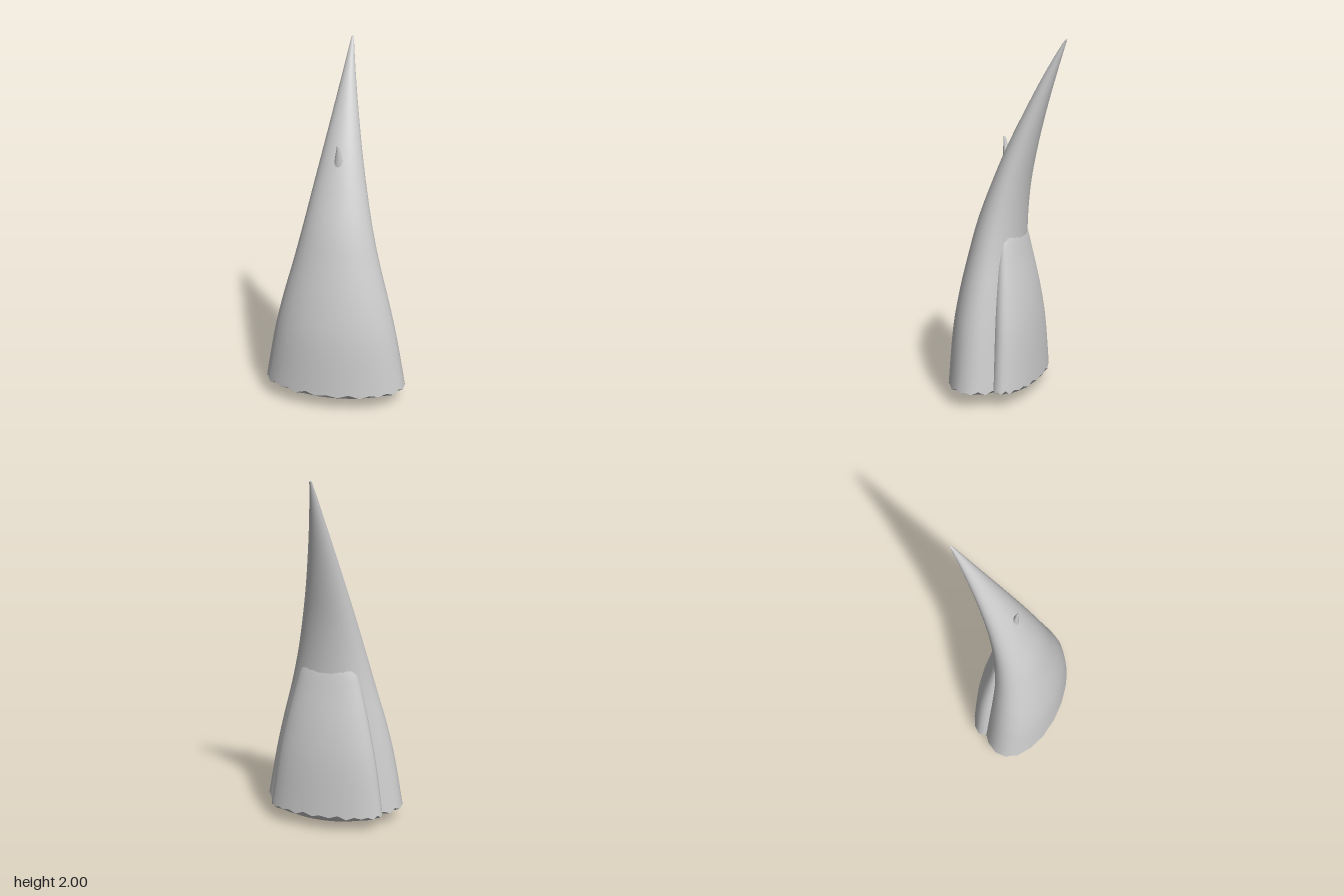
import * as THREE from 'three';

const SIDES = 40;

// Smooth skin over elliptical rings listed from bottom to top: [y, halfWidth, zFront, zBack]
function skin(rings, scallopRow = -1) {
  const pos = [], index = [];
  rings.forEach(([y, rx, zf, zb], j) => {
    for (let i = 0; i < SIDES; i++) {
      const t = (i / SIDES) * Math.PI * 2 + Math.PI / 20;
      // chipped rim: small uneven scallops
      const chip = j === scallopRow ? (i % 2 ? 0.008 : -0.006) + 0.004 * Math.sin(i * 1.9) : 0;
      const facet = i % 2 ? 0.993 : 1;
      pos.push(rx * facet * Math.sin(t), y + chip, (zf + zb) / 2 + ((zf - zb) / 2) * facet * Math.cos(t));
    }
  });
  for (let j = 0; j < rings.length - 1; j++) {
    for (let i = 0; i < SIDES; i++) {
      const k = (i + 1) % SIDES, a = j * SIDES, b = a + SIDES;
      index.push(a + i, a + k, b + k, a + i, b + k, b + i);
    }
  }
  const geo = new THREE.BufferGeometry();
  geo.setAttribute('position', new THREE.Float32BufferAttribute(pos, 3));
  geo.setIndex(index);
  geo.computeVertexNormals();
  return geo;
}

// Fills in rings between the key sections with a smooth curve
function refine(keys, steps) {
  const a = new THREE.CatmullRomCurve3(keys.map(k => new THREE.Vector3(k[1], k[0], k[2])));
  const b = new THREE.CatmullRomCurve3(keys.map(k => new THREE.Vector3(k[1], k[0], k[3])));
  return Array.from({ length: steps + 1 }, (_, i) => {
    const p = a.getPoint(i / steps), q = b.getPoint(i / steps);
    return [p.y, Math.max(p.x, 0), p.z, q.z];
  });
}

// Shallow domed underside, from its lowest point out to the rim
function underside([y, rx, zf, zb], low) {
  const c = (zf + zb) / 2, h = (zf - zb) / 2;
  const rings = [[0, 0], [0.25, 0.12], [0.55, 0.36], [0.8, 0.66], [1, 1]].map(
    ([s, f]) => [low + (y - low) * f, rx * s, c + h * s, c - h * s]);
  return skin(rings, rings.length - 1);
}

export function createModel() {
  const horn = new THREE.MeshStandardMaterial({ color: 0xcccccc });
  horn.name = 'pale grey';
  const group = new THREE.Group();
  group.name = 'horn';
  const add = (name, geo) => {
    const mesh = new THREE.Mesh(geo, horn);
    mesh.name = name;
    group.add(mesh);
  };

  // Main horn, curving back to its tip
  const main = [
    [0.09, 0.405, 0.323, -0.115],
    [0.4, 0.348, 0.304, -0.095],
    [0.6, 0.3, 0.272, -0.082],
    [0.8, 0.245, 0.227, -0.075],
    [1.0, 0.196, 0.174, -0.083],
    [1.2, 0.153, 0.1, -0.106],
    [1.4, 0.112, 0.016, -0.148],
    [1.6, 0.074, -0.083, -0.2],
    [1.8, 0.038, -0.19, -0.26],
    [1.97, 0.01, -0.294, -0.314],
    [1.993, 0.006, -0.312, -0.322],
    [2.0, 0, -0.32, -0.32],
  ];
  add('mainHorn', skin(refine(main, 44), 0));
  add('mainUnderside', underside(main[0], 0));

  // Shorter lobe fused to the back
  const lobe = [
    [0.09, 0.333, 0.06, -0.181],
    [0.4, 0.287, 0.06, -0.165],
    [0.6, 0.245, 0.06, -0.139],
    [0.8, 0.195, 0.05, -0.099],
    [0.92, 0.16, 0.04, -0.073],
    [1.05, 0.1, 0.03, -0.03],
    [1.1, 0, 0, 0],
  ];
  add('backLobe', skin(refine(lobe, 24), 0));
  add('backUnderside', underside(lobe[0], 0.018));

  // Small thorn on the front face
  const thorn = [
    [1.3, 0, 0.024, 0.024],
    [1.302, 0.028, 0.038, 0.008],
    [1.315, 0.031, 0.042, 0.004],
    [1.36, 0.024, 0.042, 0.008],
    [1.41, 0.015, 0.043, 0.018],
    [1.45, 0.008, 0.043, 0.028],
    [1.458, 0.005, 0.041, 0.032],
    [1.461, 0, 0.036, 0.036],
  ];
  add('thorn', skin(thorn));

  return group;
}
